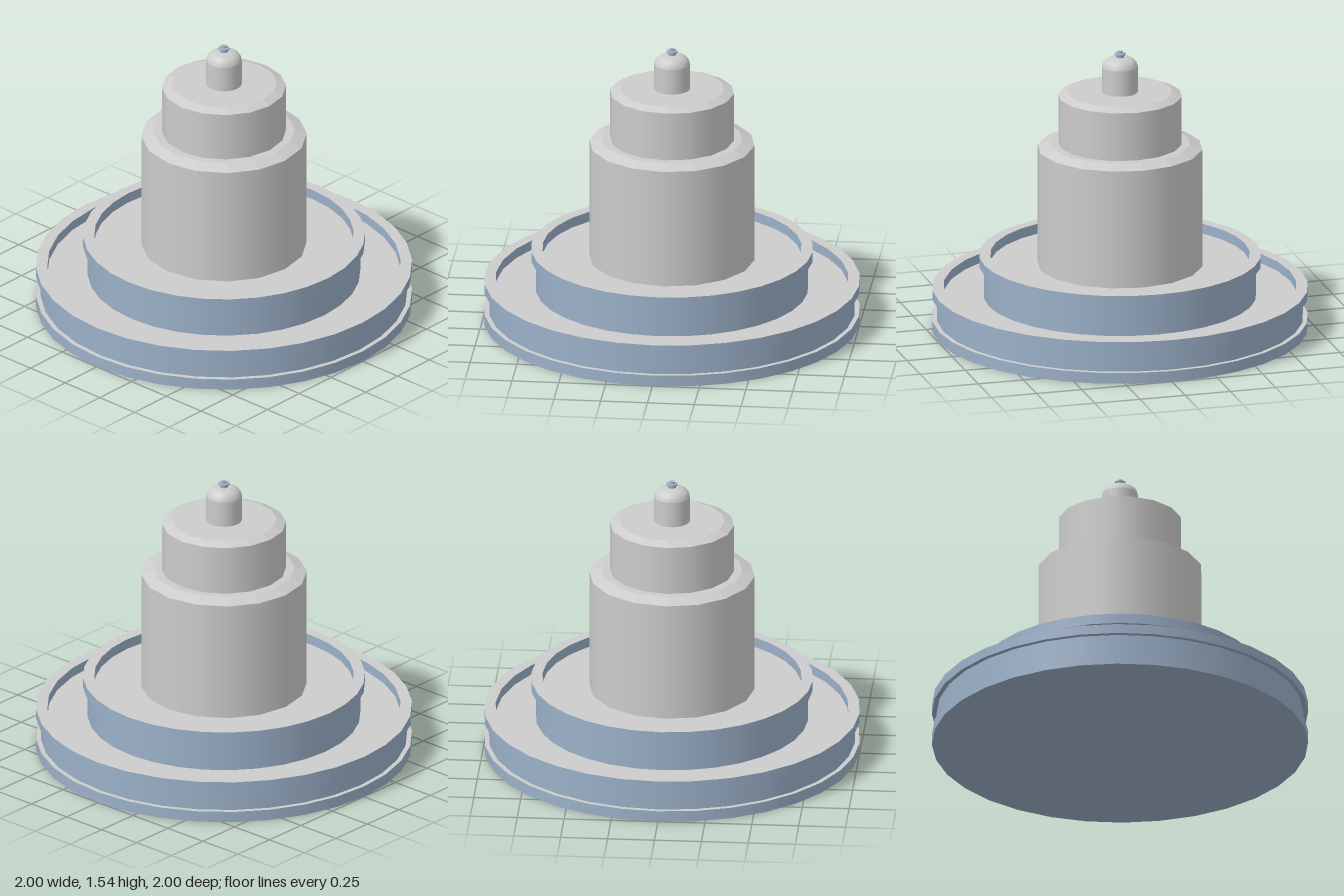
import * as THREE from 'three';
import { mergeGeometries } from 'three/addons/utils/BufferGeometryUtils.js';

// Revolves each straight run of a profile on its own, so edges stay crisp
// while the surface stays smooth around the axis.
function turned(profile, sides, faceted = false) {
  const runs = [];
  for (let i = 0; i < profile.length - 1; i++) {
    const pts = [profile[i], profile[i + 1]].map(([r, y]) => new THREE.Vector2(r, y));
    let g = new THREE.LatheGeometry(pts, sides);
    g = g.toNonIndexed();
    if (faceted) g.computeVertexNormals();
    runs.push(g);
  }
  return mergeGeometries(runs);
}

export function createModel() {
  const model = new THREE.Group();
  model.name = 'steppedTower';

  const grey = new THREE.MeshStandardMaterial({ color: 0xcccccc });
  grey.name = 'lightGrey';
  const blue = new THREE.MeshStandardMaterial({ color: 0x9bb0c8 });
  blue.name = 'steelBlue';

  const add = (name, geometry, material) => {
    const mesh = new THREE.Mesh(geometry, material);
    mesh.name = name;
    model.add(mesh);
  };

  // Base: foot plate, recessed walls, overhanging rims and their inner walls
  add('baseUnderside', turned([[0, 0], [1, 0]], 32), blue);
  add('footEdge', turned([[1, 0], [1, 0.06]], 32), blue);
  add('footLedge', turned([[1, 0.06], [0.975, 0.06]], 32), grey);

  const tiers = [
    { name: 'lowerTier', wall: 0.975, rim: 1, inner: 0.94, y: [0.06, 0.18, 0.232], floorEnd: 0.72 },
    { name: 'upperTier', wall: 0.725, rim: 0.75, inner: 0.69, y: [0.18, 0.355, 0.41], floorEnd: 0.4 },
  ];
  for (const { name, wall, rim, inner, y, floorEnd } of tiers) {
    add(name + 'Wall', turned([[wall, y[0]], [wall, y[1]], [rim, y[1]], [rim, y[2]]], 32), blue);
    add(name + 'RimTop', turned([[rim, y[2]], [inner, y[2]]], 32), grey);
    add(name + 'InnerWall', turned([[inner, y[2]], [inner, y[1]]], 32), blue);
    add(name + 'Floor', turned([[inner, y[1]], [floorEnd, y[1]]], 32), grey);
  }

  // Sixteen-sided tower drums with faceted chamfers
  const drums = [
    { name: 'mainDrum', r: 0.44, top: 0.375, y: [0.355, 1.005, 1.03], end: 0.32 },
    { name: 'upperDrum', r: 0.33, top: 0.28, y: [1.03, 1.295, 1.315], end: 0 },
  ];
  for (const { name, r, top, y, end } of drums) {
    add(name, turned([[r, y[0]], [r, y[1]]], 16), grey);
    add(name + 'Chamfer', turned([[r, y[1]], [top, y[2]]], 16, true), grey);
    add(name + 'Top', turned([[top, y[2]], [end, y[2]]], 16), grey);
  }

  // Neck with a rounded shoulder
  add('neck', turned([[0.095, 1.315], [0.095, 1.455]], 32), grey);
  const shoulder = [[0.095, 1.455], [0.09, 1.473], [0.078, 1.489], [0.06, 1.5], [0.035, 1.506], [0, 1.507]]
    .map(([r, y]) => new THREE.Vector2(r, y));
  add('shoulder', new THREE.LatheGeometry(shoulder, 32), grey);

  // Small flanged tip
  add('tip', turned([
    [0.022, 1.5], [0.022, 1.517], [0.03, 1.52], [0.03, 1.528],
    [0.014, 1.53], [0.014, 1.54], [0, 1.54],
  ], 16), blue);

  return model;
}
